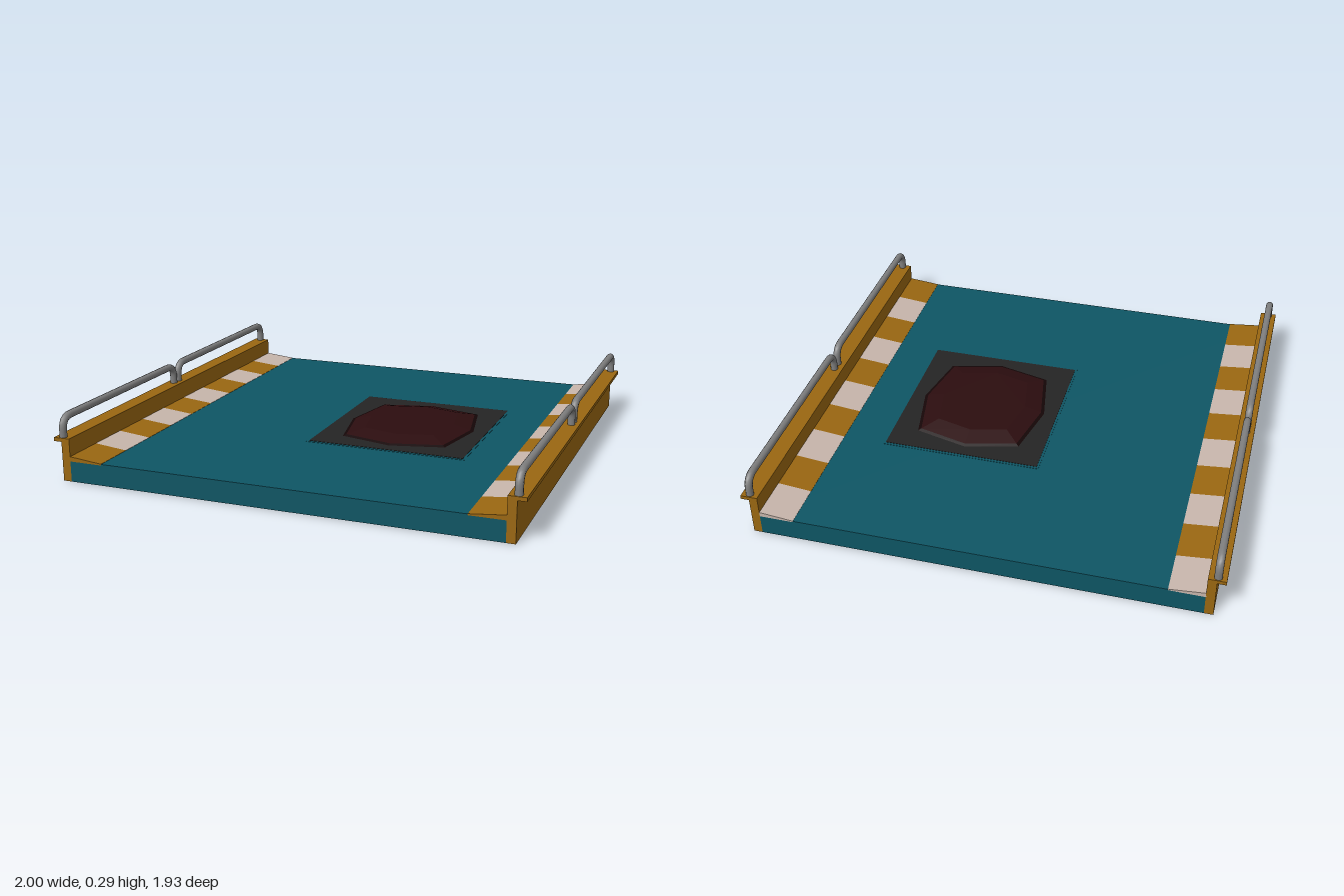
import * as THREE from 'three';

const mat = (color) => new THREE.MeshStandardMaterial({ color, flatShading: true });
const teal = mat(0x0e5564), orange = mat(0x9a6711), pale = mat(0xc8b6ac);
const charcoal = mat(0x242424), maroon = mat(0x2c0d0f), black = mat(0x150607);
const steel = new THREE.MeshStandardMaterial({ color: 0x808080 });

const HALF = 0.965; // half length of the deck
const DECK_Y = 0.093;

function add(parent, name, geometry, material) {
  const mesh = new THREE.Mesh(geometry, material);
  mesh.name = name;
  parent.add(mesh);
  return mesh;
}

// Box given by its minimum and maximum corners
function box(parent, name, min, max, material) {
  const size = max.map((v, i) => v - min[i]);
  const mesh = add(parent, name, new THREE.BoxGeometry(...size), material);
  mesh.position.set(...max.map((v, i) => (v + min[i]) / 2));
  return mesh;
}

// Faceted octagonal frustum built from stacked [halfWidth, halfDepth, y] rings
function octagonStack(rings, capped) {
  const pos = [], index = [];
  for (const [w, d, y] of rings) {
    for (let i = 0; i < 8; i++) {
      const a = (i * Math.PI) / 4;
      const k = i % 2 ? 1.155 : 1; // diagonal corners pushed outwards
      pos.push(Math.sin(a) * w * k, y, Math.cos(a) * d * k);
    }
  }
  for (let r = 0; r < rings.length - 1; r++) {
    for (let i = 0; i < 8; i++) {
      const a = r * 8 + i, b = r * 8 + ((i + 1) % 8);
      index.push(a, b, b + 8, a, b + 8, a + 8);
    }
  }
  if (capped) {
    const s = (rings.length - 1) * 8;
    for (let i = 1; i < 7; i++) index.push(s, s + i, s + i + 1);
  }
  const g = new THREE.BufferGeometry();
  g.setAttribute('position', new THREE.Float32BufferAttribute(pos, 3));
  g.setIndex(index);
  const flat = g.toNonIndexed();
  flat.computeVertexNormals();
  return flat;
}

// Handrail hoop with rounded corners, running along z
function railGeometry(z0, z1) {
  const r = 0.055, base = 0.175, top = 0.269;
  const p = (y, z) => new THREE.Vector3(0, y, z);
  const path = new THREE.CurvePath();
  path.add(new THREE.LineCurve3(p(base, z0), p(top - r, z0)));
  path.add(new THREE.QuadraticBezierCurve3(p(top - r, z0), p(top, z0), p(top, z0 + r)));
  path.add(new THREE.LineCurve3(p(top, z0 + r), p(top, z1 - r)));
  path.add(new THREE.QuadraticBezierCurve3(p(top, z1 - r), p(top, z1), p(top - r, z1)));
  path.add(new THREE.LineCurve3(p(top - r, z1), p(base, z1)));
  return new THREE.TubeGeometry(path, 90, 0.0165, 10, false);
}

// Sloping edge strip: wedge in x-y, extruded along z
function wedgeGeometry(side, length) {
  const shape = new THREE.Shape();
  shape.moveTo(side * 0.78, DECK_Y - 0.005);
  shape.lineTo(side * 0.93, DECK_Y - 0.005);
  shape.lineTo(side * 0.93, 0.109);
  shape.lineTo(side * 0.78, DECK_Y + 0.001);
  return new THREE.ExtrudeGeometry(shape, { depth: length, bevelEnabled: false });
}

export function createModel() {
  const model = new THREE.Group();
  model.name = 'deckSection';

  box(model, 'deck', [-0.927, 0, -HALF], [0.927, DECK_Y, HALF], teal);

  for (const side of [-1, 1]) {
    const edge = new THREE.Group();
    edge.name = side > 0 ? 'leftEdge' : 'rightEdge';
    model.add(edge);

    // Side wall and overhanging cap
    const wall = box(edge, 'sideWall', [0.927, 0, -HALF], [0.964, 0.175, HALF], orange);
    const cap = box(edge, 'wallCap', [0.927, 0.169, -HALF], [1, 0.185, HALF], orange);
    wall.position.x *= side;
    cap.position.x *= side;

    // Alternating warning stripes
    const step = (2 * HALF) / 10;
    for (let i = 0; i < 10; i++) {
      const stripe = add(edge, 'warningStripe', wedgeGeometry(side, step), i % 2 ? orange : pale);
      stripe.position.z = -HALF + i * step;
    }

    // Two handrail hoops end to end
    for (const [z0, z1] of [[-0.946, -0.022], [0.022, 0.946]]) {
      add(edge, 'handrail', railGeometry(z0, z1), steel).position.x = side * 0.965;
    }
  }

  // Hatch: thin surround, dark plate and faceted lid
  const hatch = new THREE.Group();
  hatch.name = 'hatch';
  hatch.position.set(0.24, 0, -0.003);
  model.add(hatch);
  box(hatch, 'hatchSurround', [-0.357, 0.085, -0.387], [0.357, 0.0942, 0.387], teal);
  box(hatch, 'hatchPlate', [-0.347, 0.085, -0.375], [0.347, 0.0955, 0.375], charcoal);
  add(hatch, 'lidRim', octagonStack([[0.293, 0.325, 0.093], [0.272, 0.305, 0.101]], false), black);
  add(hatch, 'lid', octagonStack([[0.272, 0.305, 0.101], [0.195, 0.225, 0.12]], true), maroon);

  return model;
}
